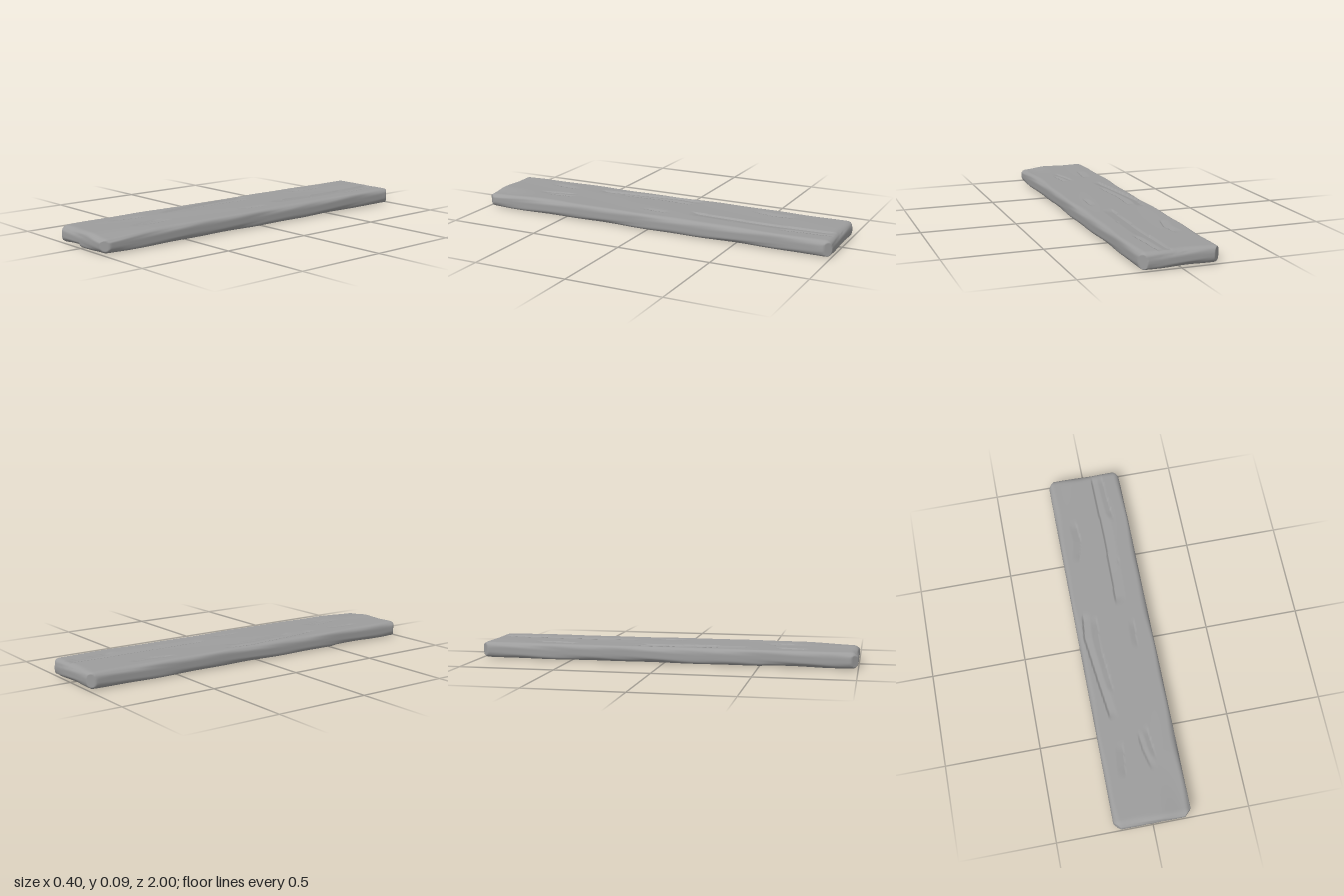
import * as THREE from 'three';
import { mergeVertices } from 'three/addons/utils/BufferGeometryUtils.js';

const HALF_W = 0.2, HALF_L = 1, BOTTOM = 0.004, TOP = 0.086;
const COLUMNS = 80, CELL = 2 * HALF_W / COLUMNS;
const { smoothstep, clamp, mapLinear } = THREE.MathUtils;

// Grain cuts: path of [x, z] points, depth, and width (its sign is the sloping side)
const topCuts = [
  { path: [[0.042, -0.99], [0.05, -0.6], [0.04, -0.18]], depth: 0.009, width: 0.055 },
  { path: [[0.1, -0.99], [0.105, -0.85], [0.12, -0.69]], depth: 0.008, width: -0.05 },
  { path: [[-0.095, -0.73], [-0.085, -0.6], [-0.115, -0.47]], depth: 0.007, width: -0.04 },
  { path: [[-0.15, -0.18], [-0.165, -0.03], [-0.14, 0.2], [-0.11, 0.45]], depth: 0.01, width: 0.04 },
  { path: [[-0.085, -0.15], [-0.09, 0.05], [-0.07, 0.3]], depth: 0.007, width: -0.04 },
  { path: [[0.11, -0.1], [0.105, 0.08]], depth: 0.006, width: -0.03 },
  { path: [[0.1, -0.48], [0.097, -0.4]], depth: 0.005, width: -0.03 },
  { path: [[-0.075, 0.56], [-0.095, 0.76]], depth: 0.007, width: -0.04 },
  { path: [[0.06, 0.5], [0.08, 0.69]], depth: 0.007, width: -0.03 },
  { path: [[0.01, 0.52], [0.02, 0.62], [0.05, 0.75]], depth: 0.006, width: 0.03 },
];
const bottomCuts = [
  { path: [[0, 1.1], [-0.03, 0.85], [-0.1, 0.5]], depth: 0.012, width: -0.14 },
  { path: [[-0.1, -0.95], [-0.08, -0.4], [-0.1, 0.2]], depth: 0.008, width: -0.05 },
  { path: [[0.03, -0.92], [0.02, -0.3], [0.05, 0.5]], depth: 0.008, width: 0.06 },
  { path: [[-0.14, -0.4], [-0.12, 0.3]], depth: 0.006, width: 0.04 },
];

// The x of a cut's steep side at z, or undefined beyond its tips
function cutLine({ path }, z) {
  const i = path.findIndex((p, k) => k > 0 && (z - path[k - 1][1]) * (z - p[1]) <= 0);
  if (i < 0) return undefined;
  const [a, b] = [path[i - 1], path[i]];
  return mapLinear(z, a[1], b[1], a[0], b[0]);
}

// Nearby grid points move onto the cut so that its edge runs clean
function snapToCuts(cuts, x, z) {
  for (const cut of cuts) {
    const line = cutLine(cut, z);
    if (line !== undefined && Math.abs(line - x) <= CELL / 2) return line;
  }
  return x;
}

// Deepest cut at x, z: steep on the line, sloping out, fading at both tips
function carve(cuts, x, z) {
  let deepest = 0;
  for (const cut of cuts) {
    const line = cutLine(cut, z);
    if (line === undefined) continue;
    const t = (x - line) / cut.width;
    if (t < -1e-4 || t > 1) continue;
    const ends = [cut.path[0][1], cut.path[cut.path.length - 1][1]];
    const tip = Math.min(...ends.map((end) => Math.abs(z - end)));
    deepest = Math.max(deepest, cut.depth * (1 - t) * smoothstep(tip, 0, 0.06));
  }
  return deepest;
}

// Uneven worn edges, flowing gradually from one long edge to the next
function edgeRadius(x, y, z) {
  const phase = 1.3 * clamp(x / 0.15, -1, 1) + 2.1 * clamp(y / 0.03, -1, 1);
  const wave = 0.6 * Math.sin(7 * z + phase) + 0.4 * Math.sin(17 * z + phase * 3);
  return 0.027 + 0.009 * wave + 0.006 * smoothstep(Math.abs(z), 0.85, 1);
}

function plankGeometry() {
  let geometry = new THREE.BoxGeometry(2 * HALF_W, TOP - BOTTOM, 2 * HALF_L, COLUMNS, 12, 200);
  geometry.deleteAttribute('normal');
  geometry.deleteAttribute('uv');
  geometry = mergeVertices(geometry, 1e-5);
  const halfH = (TOP - BOTTOM) / 2;
  const p = new THREE.Vector3(), core = new THREE.Vector3();
  const pos = geometry.attributes.position;
  for (let i = 0; i < pos.count; i++) {
    p.fromBufferAttribute(pos, i);
    const { y, z } = p;
    const cuts = y > 0 ? topCuts : bottomCuts;
    if (Math.abs(y) > halfH - 1e-4) p.x = snapToCuts(cuts, p.x, z);
    const x = p.x;
    const r = edgeRadius(x, y, z);
    // Round every edge by pulling the box towards a smaller inner box
    core.set(
      clamp(x, r - HALF_W, HALF_W - r),
      clamp(y, r - halfH, halfH - r),
      clamp(z, r - HALF_L, HALF_L - r));
    p.sub(core);
    p.setLength(Math.max(Math.abs(p.x), Math.abs(p.y), Math.abs(p.z)));
    p.add(core);
    // Clip the four corners of the outline
    const excess = Math.max(0, Math.abs(p.x) + Math.abs(p.z) - (HALF_W + HALF_L - 0.035)) / 2;
    p.x -= Math.sign(p.x) * excess;
    p.z -= Math.sign(p.z) * excess;
    // Swell the faces slightly and carve the grain
    const flat = smoothstep(Math.abs(y), 0, halfH);
    const middle = 1 - smoothstep(Math.abs(x), 0.02, 0.18);
    const depth = carve(cuts, x, z);
    if (y > 0) {
      // Chipped slope at the front left corner
      const chip = 0.012 * smoothstep(z, 0.65, 1) * smoothstep(x, 0.04, 0.17);
      p.y += flat * (0.002 * middle * Math.sin(5 * z + 9 * x + 1) + 0.001 - depth - chip);
    } else {
      p.y += flat * (0.002 * middle * Math.sin(4 * z + 7 * x) + depth);
    }
    pos.setXYZ(i, p.x, p.y + (TOP + BOTTOM) / 2, p.z);
  }
  geometry.computeVertexNormals();
  geometry.computeBoundingBox();
  geometry.translate(0, -geometry.boundingBox.min.y, 0);
  return geometry;
}

export function createModel() {
  const group = new THREE.Group();
  group.name = 'woodenPlank';
  const plank = new THREE.Mesh(plankGeometry(), new THREE.MeshStandardMaterial({ color: 0x9d9d9d }));
  plank.name = 'plank';
  group.add(plank);
  return group;
}
